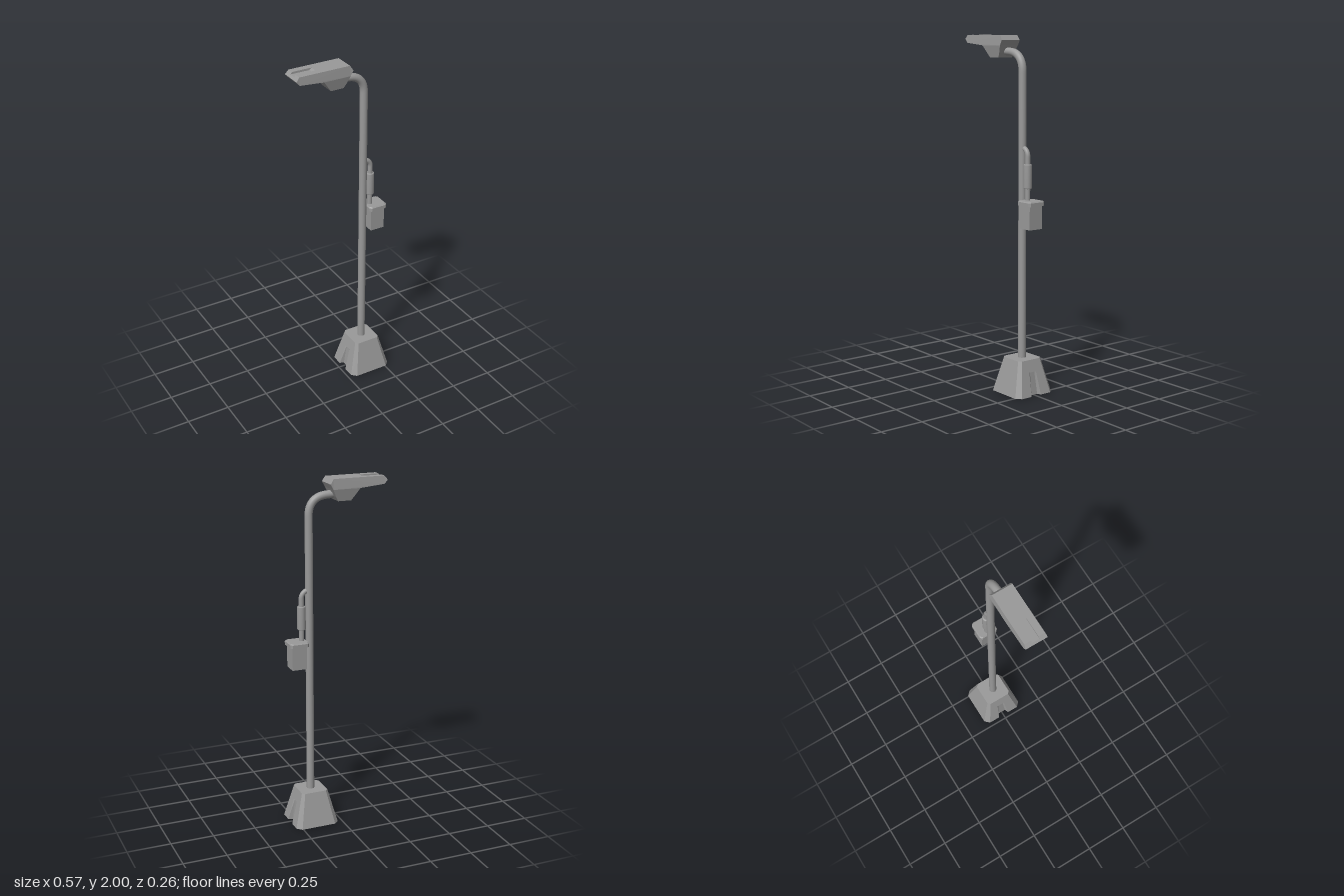
import * as THREE from 'three';

const POLE_X = 0.154;
const GREY = 0x999999;
const flat = () => new THREE.MeshStandardMaterial({ color: GREY, flatShading: true, side: THREE.DoubleSide });
const smooth = () => new THREE.MeshStandardMaterial({ color: GREY });

function add(parent, name, geometry, material, x = 0, y = 0, z = 0) {
  const mesh = new THREE.Mesh(geometry, material);
  mesh.name = name;
  mesh.position.set(x, y, z);
  parent.add(mesh);
}

// Joins rings of points that all run from +x towards +z
function loft(rings, capBottom = false) {
  const pos = [];
  const tri = (...pts) => pts.forEach(p => pos.push(...p));
  const n = rings[0].length;
  const bottom = rings[0], top = rings[rings.length - 1];
  for (let i = 0; i < n; i++) {
    const j = (i + 1) % n;
    for (let r = 0; r < rings.length - 1; r++) {
      const a = rings[r][i], b = rings[r][j], c = rings[r + 1][j], d = rings[r + 1][i];
      tri(a, d, b);
      tri(b, d, c);
    }
    tri([0, top[0][1], 0], top[j], top[i]);
    if (capBottom) tri([0, bottom[0][1], 0], bottom[i], bottom[j]);
  }
  const g = new THREE.BufferGeometry();
  g.setAttribute('position', new THREE.Float32BufferAttribute(pos, 3));
  g.computeVertexNormals();
  return g;
}

// Square with cut corners
function octagon(y, h, c) {
  const half = [[h, y, -h + c], [h, y, h - c], [h - c, y, h], [-h + c, y, h]];
  return [...half, ...half.map(([x, , z]) => [-x, y, -z])];
}

// Cut-corner square with a notch in the +x and -x sides
function notchedRing(y, depth) {
  const t = y / 0.197;
  const h = 0.129 - 0.05 * t, c = 0.027 - 0.012 * t;
  const w = 0.034 - 0.016 * t, wi = w - 0.008;
  const half = [
    [h, y, -h + c], [h, y, -w], [h - depth, y, -wi], [h - depth, y, wi],
    [h, y, w], [h, y, h - c], [h - c, y, h], [-h + c, y, h],
  ];
  return [...half, ...half.map(([x, , z]) => [-x, y, -z])];
}

// Side profile extruded from z0 to z1
function slab(points, z0, z1) {
  const shape = new THREE.Shape(points.map(p => new THREE.Vector2(...p)));
  const g = new THREE.ExtrudeGeometry(shape, { depth: z1 - z0, bevelEnabled: false });
  return g.translate(0, 0, z0);
}

// Moves each vertex sideways by a rule
function reshapeZ(geometry, rule) {
  const p = geometry.attributes.position;
  for (let i = 0; i < p.count; i++) p.setZ(i, rule(p.getX(i), p.getY(i), p.getZ(i)));
  return geometry;
}

function createHead() {
  const head = new THREE.Group();
  head.name = 'lampHead';
  const under = [[-0.268, 1.955], [-0.125, 1.942], [0.034, 1.942], [0.05, 1.972], [0.032, 2]];
  const plain = [...under, [-0.268, 2], [-0.287, 1.977]];
  const slotted = [...under, [-0.153, 2], [-0.165, 1.989], [-0.277, 1.989], [-0.287, 1.977]];
  // Housing with a shallow slot along the middle of the nose
  add(head, 'housingCentre', slab(slotted, -0.021, 0.021), flat());
  for (const s of [-1, 1]) {
    const g = s > 0 ? slab(plain, 0.021, 0.063) : slab(plain, -0.063, -0.021);
    reshapeZ(g, (x, y, z) => (y > 1.99 && Math.abs(z) > 0.06 ? s * 0.059 : z));
    add(head, 'housingSide', g, flat());
  }
  // Lamp bowl, narrowing downwards
  const bowl = slab([[-0.125, 1.942], [-0.077, 1.876], [0, 1.876], [0.014, 1.9], [0.034, 1.942]], -0.063, 0.063);
  reshapeZ(bowl, (x, y, z) => z * (1 - 0.25 * (1.942 - y) / 0.066));
  add(head, 'lampBowl', bowl, flat());
  return head;
}

function createControlBox() {
  const box = new THREE.Group();
  box.name = 'controlBox';
  box.position.set(0.229, 0, 0);
  add(box, 'boxBody', new THREE.BoxGeometry(0.086, 0.14, 0.086), flat(), 0, 1.013, 0);
  add(box, 'boxLid', loft([
    octagon(1.074, 0.056, 0.012), octagon(1.094, 0.056, 0.012), octagon(1.1, 0.051, 0.011),
  ], true), flat());
  add(box, 'boxLatch', new THREE.BoxGeometry(0.002, 0.004, 0.026), flat(), 0.0432, 1.013, 0);

  // Conduit rising from the lid and bending into the pole
  const V = (x, y) => new THREE.Vector3(x, y, 0);
  const path = new THREE.CurvePath();
  path.add(new THREE.LineCurve3(V(-0.028, 1.09), V(-0.028, 1.34)));
  path.add(new THREE.CubicBezierCurve3(V(-0.028, 1.34), V(-0.028, 1.365), V(-0.045, 1.383), V(-0.07, 1.386)));
  add(box, 'conduit', new THREE.TubeGeometry(path, 48, 0.0145, 14), smooth());
  const profile = [[0.012, 1.163], [0.021, 1.163], [0.024, 1.168], [0.024, 1.292], [0.021, 1.298], [0.012, 1.298]];
  const sleeve = new THREE.LatheGeometry(profile.map(q => new THREE.Vector2(...q)), 16);
  add(box, 'conduitSleeve', sleeve, smooth(), -0.028, 0, 0);
  return box;
}

export function createModel() {
  const model = new THREE.Group();
  model.name = 'streetLamp';

  // Hollow tapered footing with a notch on two sides
  const footing = loft([notchedRing(0, 0.024), notchedRing(0.13, 0.005), notchedRing(0.13, 0), notchedRing(0.197, 0)]);
  add(model, 'footing', footing, flat(), POLE_X);

  // Pole and curved arm
  const V = (x, y) => new THREE.Vector3(x, y, 0);
  const path = new THREE.CurvePath();
  path.add(new THREE.LineCurve3(V(POLE_X, 0.19), V(POLE_X, 1.8)));
  path.add(new THREE.CubicBezierCurve3(V(POLE_X, 1.8), V(POLE_X, 1.87), V(0.115, 1.905), V(0.05, 1.908)));
  path.add(new THREE.LineCurve3(V(0.05, 1.908), V(-0.01, 1.912)));
  add(model, 'poleAndArm', new THREE.TubeGeometry(path, 130, 0.0222, 20), smooth());

  model.add(createHead());
  model.add(createControlBox());
  return model;
}
